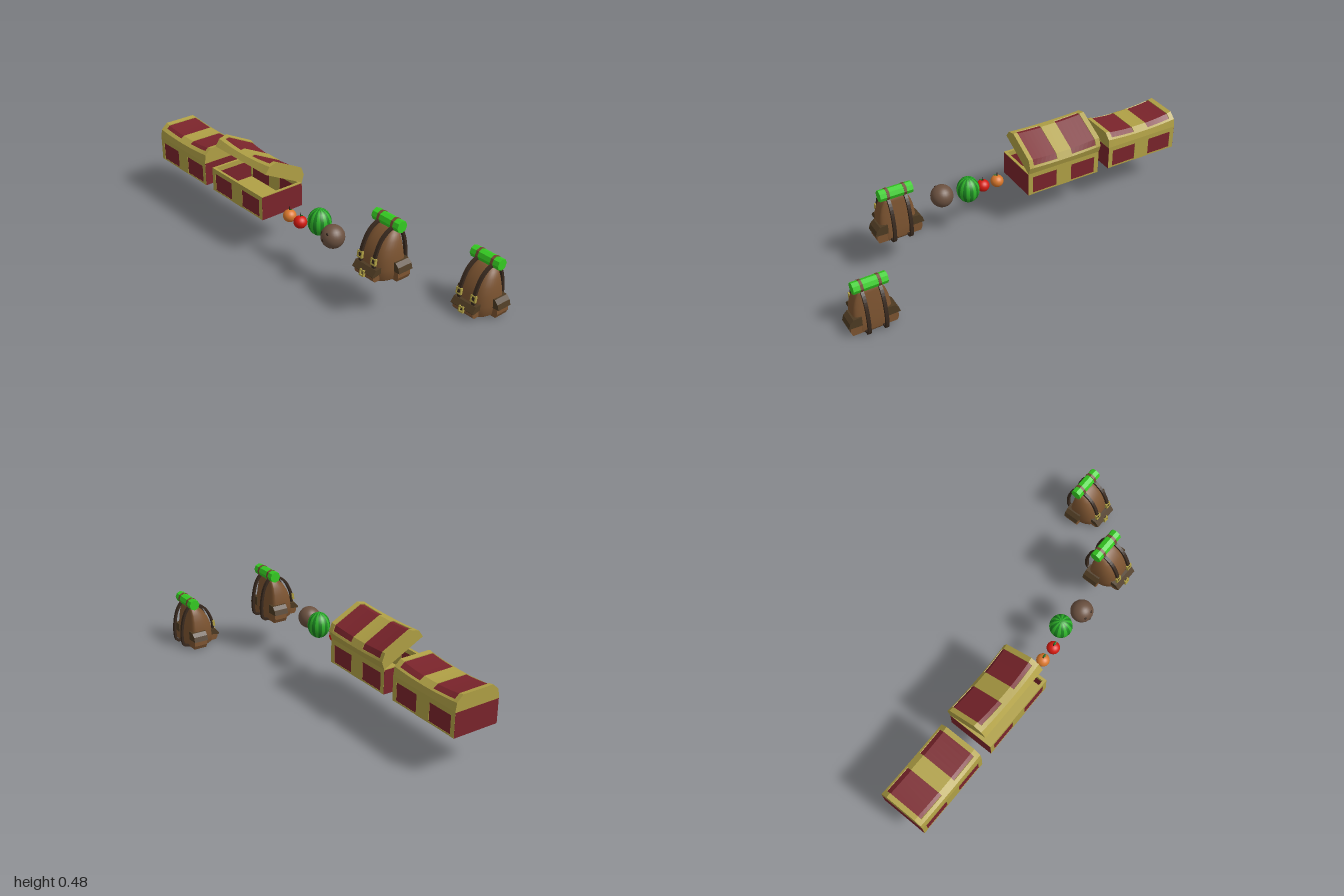
import * as THREE from 'three';

const mat = (color, flatShading = false) => {
  const m = new THREE.MeshStandardMaterial({ color, flatShading });
  return m;
};
const GOLD = mat(0xb0a045, true), RED = mat(0x7a242b, true), BROWN = mat(0x7b5330), POCKET = mat(0x7b5330, true);
const FLAP = mat(0x4d3a22, true), STRAP = mat(0x38291e, true), GREEN = mat(0x35cc22, true), BAND = mat(0x6e4a30, true);
const DARK = mat(0x1f6a1a), MELON = mat(0x2fb52a), MELON_DARK = mat(0x1a8420), NUT = mat(0x6b5140), EYE = mat(0x35261c);

function add(parent, name, geometry, material, x = 0, y = 0, z = 0) {
  const mesh = new THREE.Mesh(geometry, material);
  mesh.name = name;
  mesh.position.set(x, y, z);
  parent.add(mesh);
  return mesh;
}
const box = (g, name, m, w, h, d, x, y, z) => add(g, name, new THREE.BoxGeometry(w, h, d), m, x, y, z);
const outline = pts => new THREE.Shape(pts.map(p => new THREE.Vector2(p[0], p[1])));

// Extrudes a (z, y) side profile across x, from x0 to x1
function sideExtrude(pts, x0, x1, steps = 1) {
  const g = new THREE.ExtrudeGeometry(outline(pts), { depth: x1 - x0, bevelEnabled: false, steps });
  return g.rotateY(-Math.PI / 2).translate(x1, 0, 0);
}

// ---------- Treasure chest ----------
const W = 0.415, D = 0.243, H = 0.125, HALF = W / 2, END = 0.025, MID = 0.043;

const lidArc = i => [[D - i, 0], [0.237 - i, 0.042 - i * 0.4], [0.204 - i * 0.5, 0.072 - i],
  [0.039 + i * 0.5, 0.072 - i], [0.006 + i, 0.042 - i * 0.4], [i, 0]];
const lidShell = (a, b) => [...lidArc(a), ...lidArc(b).reverse()];

// Lid pieces sag towards the middle of the chest
function sag(g) {
  const p = g.attributes.position;
  for (let i = 0; i < p.count; i++) {
    const t = 1 - (p.getX(i) / HALF) ** 2;
    p.setY(i, p.getY(i) * (1 - 0.26 * t));
  }
  g.computeVertexNormals();
  return g;
}

function chest(name, x, open) {
  const g = new THREE.Group();
  g.name = name;
  g.position.set(x, 0.2, 0.05);
  box(g, 'floor', GOLD, W - 0.002, 0.008, D - 0.002, 0, 0.004, D / 2);
  for (const front of [0, 1]) {
    const z = front ? D - 0.007 : 0.007;
    box(g, 'longWall', RED, W - 0.01, H - 0.004, 0.01, 0, H / 2, z);
    box(g, 'longRim', GOLD, W, 0.025, 0.014, 0, H - 0.0125, z);
    box(g, 'centreBand', GOLD, MID * 2, H, 0.014, 0, H / 2, z);
    for (const s of [-1, 1]) box(g, 'cornerBand', GOLD, END, H, 0.0138, s * (HALF - END / 2), H / 2, z);
  }
  for (const s of [-1, 1]) {
    box(g, 'endWall', RED, 0.012, H - 0.004, D - 0.001, s * (HALF - 0.0055), H / 2 - 0.002, D / 2);
    box(g, 'endRim', GOLD, 0.014, 0.025, D - 0.001, s * (HALF - 0.007), H - 0.0126, D / 2);
  }
  // Hinged lid
  const lid = new THREE.Group();
  lid.name = 'lid';
  lid.position.y = H;
  if (open) lid.rotation.x = -0.471;
  g.add(lid);
  add(lid, 'lidPanel', sag(sideExtrude(lidShell(0.004, 0.014), -HALF + 0.01, HALF - 0.01, 16)), RED);
  add(lid, 'lidCentreBand', sag(sideExtrude(lidShell(0, 0.016), -MID, MID, 4)), GOLD);
  const frontRim = [[D, 0], [0.237, 0.042], [0.221, 0.0565], [0.213, 0.05], [0.226, 0.037], [0.23, 0]];
  const backRim = [[0, 0], [0.006, 0.042], [0.016, 0.05], [0.022, 0.043], [0.016, 0.036], [0.013, 0]];
  for (const rim of [frontRim, backRim]) add(lid, 'lidRim', sag(sideExtrude(rim, -HALF + 0.005, HALF - 0.005, 12)), GOLD);
  for (const s of [-1, 1]) {
    const inner = s * (HALF - END), outer = s * HALF, plate = s * (HALF - 0.012);
    add(lid, 'lidEndBand', sag(sideExtrude(lidShell(0, 0.016), Math.min(inner, outer), Math.max(inner, outer), 2)), GOLD);
    add(lid, 'lidEndPlate', sag(sideExtrude(lidArc(0.001), Math.min(plate, outer), Math.max(plate, outer))), GOLD);
  }
  return g;
}

// ---------- Fruit ----------
function smallFruit(name, x, color) {
  const g = new THREE.Group();
  g.name = name;
  g.position.set(x, 0.234, 0.2);
  add(g, 'fruit', new THREE.SphereGeometry(0.033, 20, 14), mat(color)).scale.y = 0.95;
  add(g, 'stem', new THREE.CylinderGeometry(0.002, 0.003, 0.02, 6), EYE, 0, 0.039, 0);
  const leaf = add(g, 'leaf', new THREE.SphereGeometry(1, 8, 6), DARK, 0.01, 0.038, 0);
  leaf.scale.set(0.012, 0.002, 0.006);
  leaf.rotation.z = 0.4;
  return g;
}

function watermelon() {
  const g = new THREE.Group();
  g.name = 'watermelon';
  g.position.set(0.172, 0.267, 0.166);
  g.scale.set(0.057, 0.068, 0.057);
  const n = 20, step = Math.PI * 2 / n;
  for (let i = 0; i < n; i++)
    add(g, 'rindStripe', new THREE.SphereGeometry(1, 2, 18, i * step, step), i % 2 ? MELON : MELON_DARK);
  return g;
}

function coconut() {
  const g = new THREE.Group();
  g.name = 'coconut';
  g.position.set(0.302, 0.257, 0.195);
  add(g, 'shell', new THREE.SphereGeometry(0.057, 24, 16), NUT);
  for (const [x, y] of [[-0.026, 0.022], [0.012, 0.03], [-0.006, -0.004]]) {
    const eye = add(g, 'eye', new THREE.SphereGeometry(0.008, 10, 8), EYE, x, y, Math.sqrt(0.054 ** 2 - x * x - y * y));
    eye.scale.z = 0.6;
  }
  return g;
}

// ---------- Backpack ----------
// Each level: height, front z, back z, half width
const LEVELS = [[0, 0.058, -0.074, 0.075], [0.012, 0.071, -0.08, 0.089], [0.06, 0.072, -0.079, 0.095],
  [0.11, 0.065, -0.076, 0.092], [0.15, 0.05, -0.072, 0.086], [0.185, 0.028, -0.068, 0.076],
  [0.21, 0.004, -0.065, 0.064], [0.225, -0.016, -0.062, 0.05], [0.231, -0.03, -0.056, 0.032]];

function packBody() {
  const n = 36, pos = [], idx = [], spow = (v, e) => Math.sign(v) * Math.abs(v) ** e;
  for (const [y, f, b, w] of LEVELS) {
    const c = b + (f - b) * 0.3;
    for (let i = 0; i < n; i++) {
      const a = i / n * Math.PI * 2, s = Math.sin(a);
      pos.push(w * spow(Math.cos(a), 0.7), y, s > 0 ? c + (f - c) * s ** 0.85 : c - (c - b) * (-s) ** 0.45);
    }
  }
  const last = LEVELS.length - 1;
  pos.push(0, 0, 0, 0, 0.232, -0.043);
  const bottom = n * (last + 1), top = bottom + 1;
  for (let i = 0; i < n; i++) {
    const j = (i + 1) % n;
    for (let r = 0; r < last; r++) {
      const a = r * n + i, b = r * n + j;
      idx.push(a, a + n, b, b, a + n, b + n);
    }
    idx.push(bottom, i, j, top, last * n + j, last * n + i);
  }
  const g = new THREE.BufferGeometry();
  g.setAttribute('position', new THREE.Float32BufferAttribute(pos, 3));
  g.setIndex(idx);
  g.computeVertexNormals();
  return g;
}

// Flat strap of constant thickness along a (z, y) path
function ribbon(path, thick, width) {
  const curve = new THREE.CatmullRomCurve3(path.map(([z, y]) => new THREE.Vector3(z, y, 0)));
  const a = [], b = [];
  for (let i = 0; i <= 36; i++) {
    const p = curve.getPoint(i / 36), t = curve.getTangent(i / 36);
    a.push([p.x - t.y * thick / 2, p.y + t.x * thick / 2]);
    b.unshift([p.x + t.y * thick / 2, p.y - t.x * thick / 2]);
  }
  return sideExtrude([...a, ...b], -width / 2, width / 2);
}

function buckle(g, w, h, x, y, z, tilt) {
  const s = outline([[-w, -h], [w, -h], [w, h], [-w, h]]);
  s.holes.push(new THREE.Path([[-1, -1], [-1, 1], [1, 1], [1, -1]].map(([a, b]) => new THREE.Vector2(a * (w - 0.006), b * (h - 0.006)))));
  const geo = new THREE.ExtrudeGeometry(s, { depth: 0.012, bevelEnabled: false }).translate(0, 0, -0.006);
  add(g, 'buckle', geo, GOLD, x, y, z).rotation.x = tilt;
}

function backpack(name, x, y, z) {
  const g = new THREE.Group();
  g.name = name;
  g.position.set(x, y, z);
  add(g, 'packBody', packBody(), BROWN);
  // Front pocket with flap
  add(g, 'frontPocket', sideExtrude([[0.04, 0.012], [0.083, 0.012], [0.093, 0.025], [0.095, 0.05], [0.085, 0.068], [0.04, 0.068]], -0.06, 0.06), POCKET);
  add(g, 'frontFlap', sideExtrude([[0.04, 0.078], [0.082, 0.074], [0.103, 0.048], [0.096, 0.04], [0.04, 0.052]], -0.066, 0.066), FLAP);
  box(g, 'pocketStrap', STRAP, 0.014, 0.03, 0.008, 0, 0.042, 0.097);
  buckle(g, 0.014, 0.015, 0, 0.042, 0.102, -0.15);
  // Side pockets, over-the-top straps and their buckles
  const pocket = outline([[0.06, 0.005], [0.108, 0.005], [0.117, 0.025], [0.115, 0.055], [0.06, 0.055]]);
  const flap = outline([[0.06, 0.098], [0.1, 0.096], [0.118, 0.078], [0.126, 0.052], [0.06, 0.05]]);
  const strapPath = [[0.074, 0.075], [0.074, 0.105], [0.056, 0.16], [0.025, 0.208], [-0.022, 0.236], [-0.062, 0.231],
    [-0.091, 0.193], [-0.109, 0.13], [-0.114, 0.06], [-0.104, 0.016], [-0.074, 0.01]];
  for (const s of [-1, 1]) {
    const side = new THREE.Group();
    side.name = s > 0 ? 'leftPocket' : 'rightPocket';
    side.scale.x = s;
    g.add(side);
    add(side, 'sidePocket', new THREE.ExtrudeGeometry(pocket, { depth: 0.072, bevelEnabled: false }), POCKET, 0, 0, -0.075);
    add(side, 'sideFlap', new THREE.ExtrudeGeometry(flap, { depth: 0.079, bevelEnabled: false }), FLAP, 0, 0, -0.079);
    add(g, 'strap', ribbon(strapPath, 0.012, 0.016), STRAP, s * 0.043, 0, 0);
    buckle(g, 0.015, 0.016, s * 0.043, 0.107, 0.076, -0.15);
  }
  // Rolled mat on top, held by two bands
  const roll = new THREE.Group();
  roll.name = 'rolledMat';
  roll.position.set(0, 0.25, -0.049);
  roll.rotation.z = Math.PI / 2;
  g.add(roll);
  add(roll, 'mat', new THREE.CylinderGeometry(0.029, 0.029, 0.166, 8), GREEN);
  for (const s of [-1, 1]) add(roll, 'matBand', new THREE.CylinderGeometry(0.0305, 0.0305, 0.014, 8), BAND, 0, s * 0.043, 0);
  return g;
}

export function createModel() {
  const model = new THREE.Group();
  model.name = 'adventureProps';
  model.add(
    chest('closedChest', -0.792, false), chest('openChest', -0.312, true),
    smallFruit('orange', -0.01, 0xd9772b), smallFruit('apple', 0.071, 0xd41a10),
    watermelon(), coconut(),
    backpack('rearBackpack', 0.872, 0, -0.17), backpack('frontBackpack', 0.58, 0.182, 0.161));
  return model;
}
